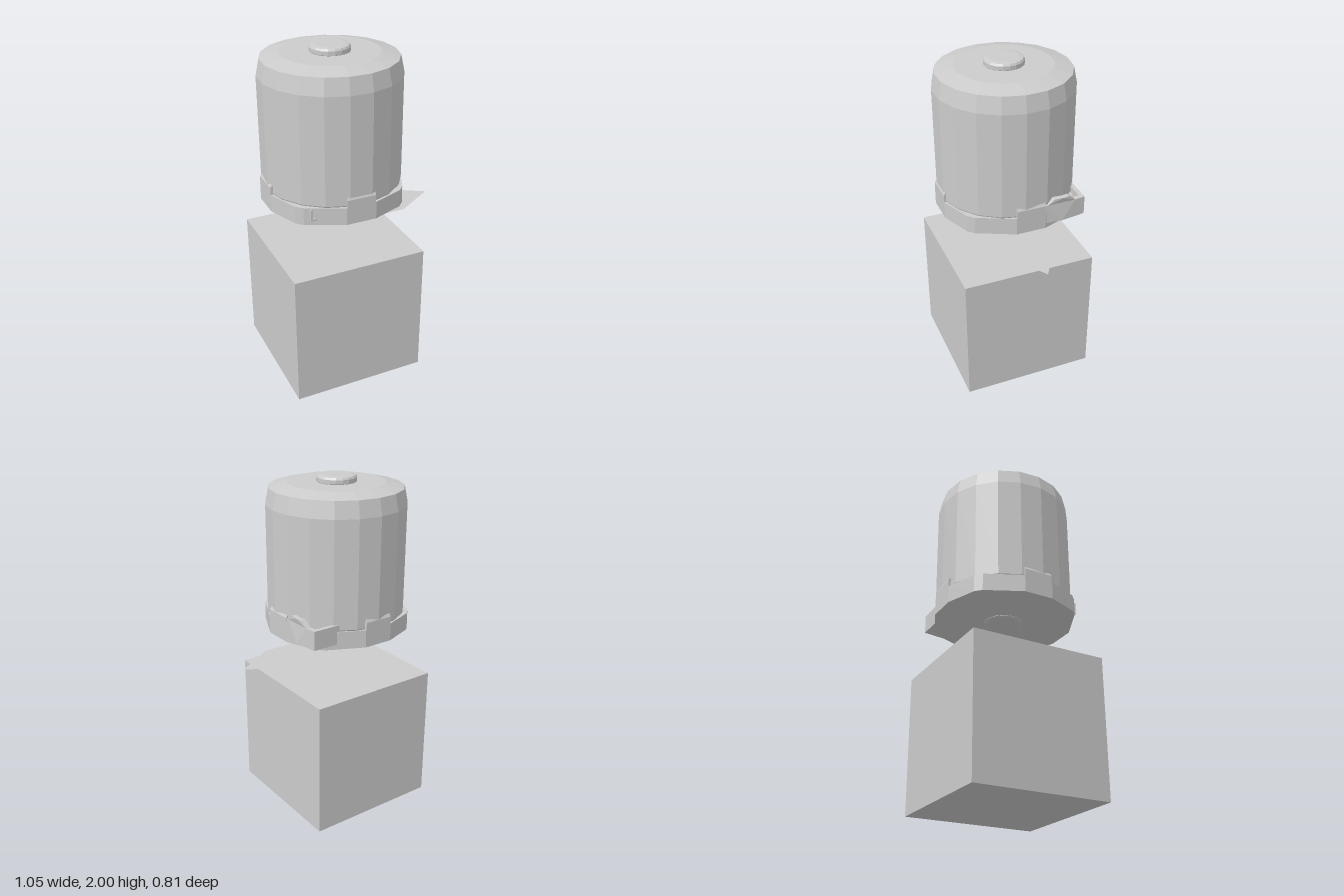
import * as THREE from 'three';

const grey = new THREE.MeshStandardMaterial({ color: 0xcccccc, flatShading: true });
const thin = new THREE.MeshStandardMaterial({ color: 0xcccccc, side: THREE.DoubleSide });
const CX = -0.118; // shared vertical axis of drum and block

function add(parent, name, geometry, material = grey) {
  const mesh = new THREE.Mesh(geometry, material);
  mesh.name = name;
  parent.add(mesh);
  return mesh;
}

const shapeOf = (pts) => new THREE.Shape(pts.map(([a, b]) => new THREE.Vector2(a, b)));

// Upright prism over a plan outline of [x, z] points
function prism(plan, y0, y1) {
  const g = new THREE.ExtrudeGeometry(shapeOf(plan.map(([x, z]) => [x, -z])), { depth: y1 - y0, bevelEnabled: false });
  return g.rotateX(-Math.PI / 2).translate(0, y0, 0);
}

// Faceted turned part with one corner pointing to the back
function turned(profile) {
  const g = new THREE.LatheGeometry(profile.map(([r, y]) => new THREE.Vector2(r, y)), 19);
  return g.rotateY(Math.PI);
}

export function createModel() {
  const model = new THREE.Group();
  model.name = 'drumOverBlock';

  // Base block
  add(model, 'baseBlock', new THREE.BoxGeometry(0.806, 0.815, 0.806)).position.set(CX, 0.4075, 0);

  // Flat direction pointer floating over the block
  const pointer = new THREE.ShapeGeometry(shapeOf([[-0.22, -0.15], [0.285, -0.15], [0.522, 0], [0.285, 0.15], [-0.22, 0.15]]));
  add(model, 'directionPointer', pointer.rotateX(-Math.PI / 2).translate(0, 0.97, 0), thin);

  // Drum with bevelled shoulder, cap and bottom spigot
  const unit = new THREE.Group();
  unit.name = 'drumUnit';
  unit.position.x = CX;
  model.add(unit);
  add(unit, 'drum', turned([[0, 1.15], [0.37, 1.15], [0.405, 1.22], [0.405, 1.84], [0.385, 1.935], [0.28, 1.96], [0, 1.96]]));
  add(unit, 'topCap', turned([[0.105, 1.95], [0.115, 1.962], [0.115, 1.985], [0.108, 1.996], [0.088, 2.0], [0, 2.0]]));
  add(unit, 'bottomSpigot', turned([[0, 1.1], [0.1, 1.1], [0.115, 1.108], [0.115, 1.16]]));

  // Twelve-sided collar: one quarter of the outline turned four times
  const outline = [];
  for (let i = 0; i < 4; i++) {
    const c = Math.round(Math.cos(i * Math.PI / 2)), s = Math.round(Math.sin(i * Math.PI / 2));
    for (const [x, z] of [[0.405, 0.088], [0.305, 0.3], [0.27, 0.335]]) outline.push([x * c - z * s, x * s + z * c]);
    // the third corner meets the next side's flat
    outline.push([0.088 * c - 0.405 * s, 0.088 * s + 0.405 * c]);
  }
  add(unit, 'collar', prism(outline, 1.11, 1.213));

  // Raised tabs on the four flats, sloping in to the drum
  for (let i = 0; i < 4; i++) {
    const tab = new THREE.ExtrudeGeometry(
      shapeOf([[0.34, 1.2], [0.405, 1.2], [0.405, 1.255], [0.397, 1.27], [0.34, 1.27]]),
      { depth: 0.17, bevelEnabled: false });
    tab.translate(0, 0, -0.085).rotateY(i * Math.PI / 2);
    add(unit, 'collarTab', tab);
  }

  // Small clips on three corners of the collar
  for (const [sx, sz] of [[1, 1], [-1, 1], [-1, -1]]) {
    const clip = new THREE.Group();
    clip.name = 'cornerClip';
    clip.position.set(sx * 0.25, 0, sz * 0.318);
    unit.add(clip);
    add(clip, 'clipPost', new THREE.BoxGeometry(0.012, 0.07, 0.034)).position.set(sx * 0.014, 1.172, 0);
    add(clip, 'clipPlate', new THREE.BoxGeometry(0.035, 0.012, 0.034)).position.set(0, 1.143, 0);
  }

  // Short stop standing on the collar
  add(unit, 'collarStop', prism([[-0.25, 0.31], [-0.19, 0.34], [-0.17, 0.31], [-0.23, 0.28]], 1.2, 1.25));

  // Corner bracket: side wall bowed outward, back wall and floor
  const bracket = new THREE.Group();
  bracket.name = 'cornerBracket';
  model.add(bracket);
  const wall = new THREE.ExtrudeGeometry(
    shapeOf([[0.08, 1.14], [0.19, 1.14], [0.335, 1.14], [0.335, 1.252], [0.27, 1.252], [0.23, 1.287],
      [0.19, 1.287], [0.14, 1.287], [0.1, 1.255], [0.08, 1.255]]),
    { depth: 0.03, bevelEnabled: false });
  wall.rotateY(Math.PI / 2).translate(0.24, 0, 0);
  const p = wall.attributes.position;
  for (let i = 0; i < p.count; i++) {
    const d = -p.getZ(i);
    p.setX(i, p.getX(i) + (d > 0.19 ? 0.022 * (0.335 - d) / 0.145 : 0.022 - 0.008 * (0.19 - d) / 0.11));
  }
  wall.computeVertexNormals();
  add(bracket, 'bracketSideWall', wall);
  add(bracket, 'bracketBackWall', prism([[0.1, -0.335], [0.27, -0.335], [0.27, -0.31], [0.1, -0.31]], 1.14, 1.252));
  add(bracket, 'bracketFloor', prism([[0.1, -0.33], [0.265, -0.33], [0.285, -0.19], [0.27, -0.09], [0.2, -0.09]], 1.141, 1.2));

  return model;
}
